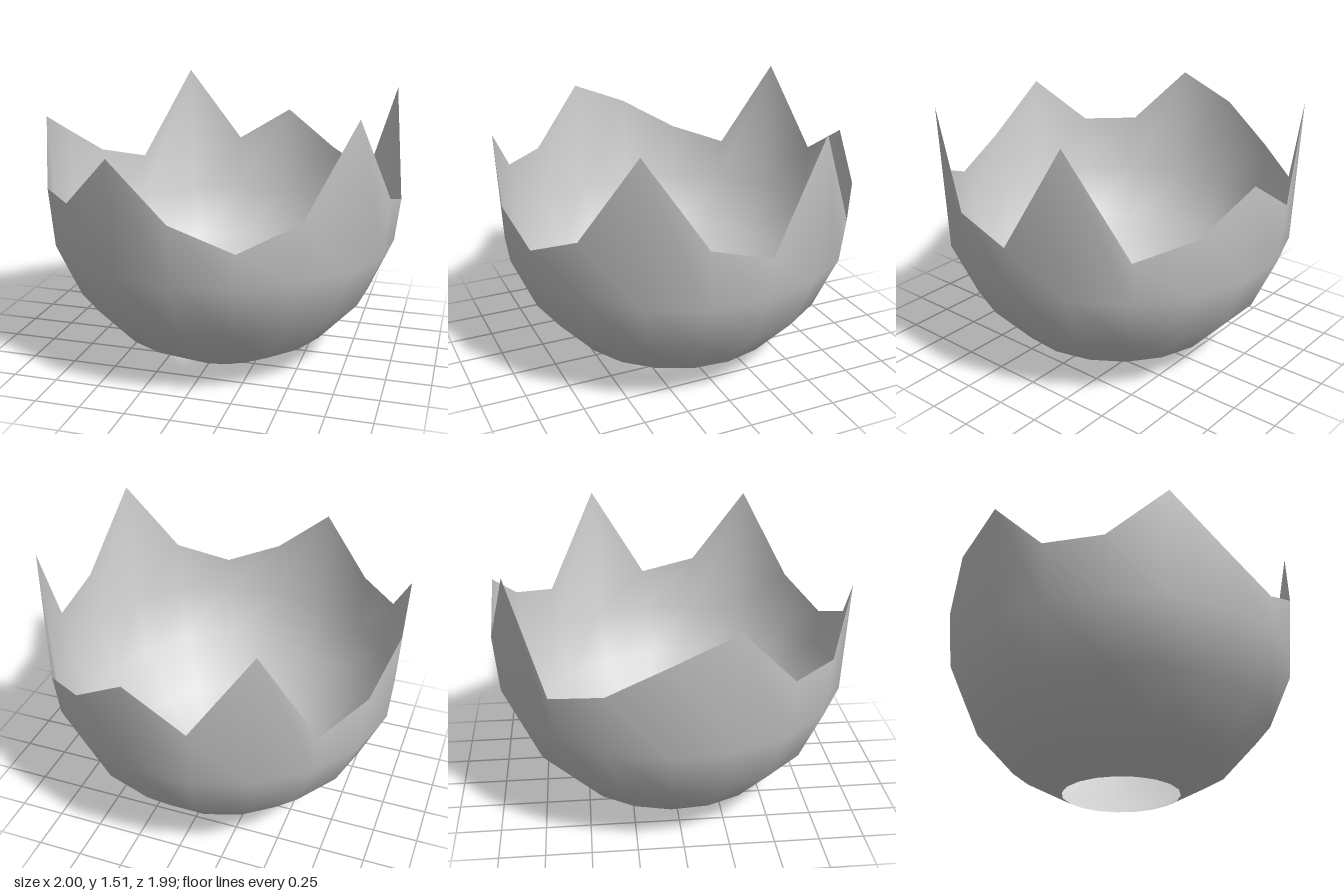
import * as THREE from 'three';

export function createModel() {
  const group = new THREE.Group();
  const sides = 19;
  const step = (Math.PI * 2) / sides;
  const radius = 1.0068;

  // Lower part of a sphere, open at the bottom, up to just above the equator
  const profile = [];
  for (let k = 1; k <= 5; k++) {
    profile.push(new THREE.Vector2(
      radius * Math.sin(k * step),
      radius * (Math.cos(step) - Math.cos(k * step))
    ));
  }
  const geometry = new THREE.LatheGeometry(profile, sides);

  // Jagged rim: height of each column, from the front towards +x and around
  const rim = [
    1.035, 0.9, 1.035, 1.505, 1.035, 0.945, 1.512, 0.945, 1.035, 1.243,
    1.035, 1.492, 0.945, 1.035, 1.225, 1.367, 1.035, 1.035, 1.325,
  ];
  const position = geometry.attributes.position;
  for (let i = 0; i <= sides; i++) {
    position.setY(i * profile.length + profile.length - 1, rim[i % sides]);
  }
  geometry.translate(0, 0, -0.0068);

  const shell = new THREE.Mesh(
    geometry,
    new THREE.MeshStandardMaterial({ color: 0xcccccc, side: THREE.DoubleSide })
  );
  shell.name = 'brokenEggshell';
  group.add(shell);
  return group;
}
